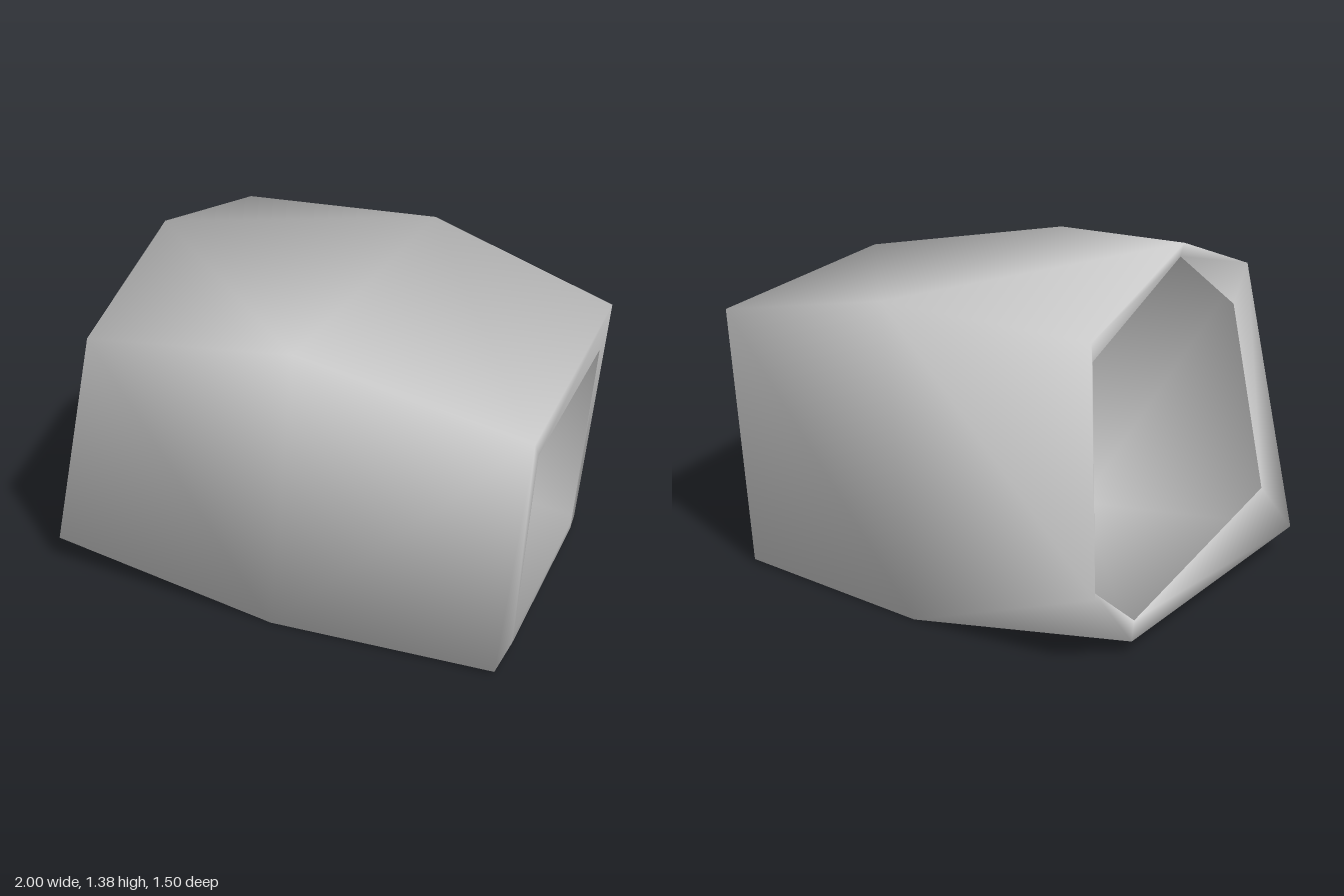
import * as THREE from 'three';

// Four-cornered ring (front-top, back-top, back-bottom, front-bottom) spread over six slots
const four = (tf, tb, bb, bf) => [tf, tf, tb, bb, bb, bf];

// Cross-sections in order from the -x opening, over its rim, along the wall to the +x opening
const rings = [
  // opening at -x
  [[-0.71, 1.02, 0.625], [-0.735, 1.33, 0.13], [-0.81, 1.13, -0.6],
    [-0.865, 0.29, -0.65], [-0.88, 0.08, -0.39], [-0.93, 0.316, 0.51]],
  // hexagonal end at -x
  [[-0.70, 1.16, 0.75], [-0.75, 1.385, 0.13], [-0.81, 1.20, -0.61],
    [-0.93, 0.32, -0.75], [-0.93, 0.05, -0.49], [-1, 0.115, 0.65]],
  // middle
  four([0.1, 1.225, 0.605], [0.02, 1.235, -0.72], [-0.11, 0, -0.72], [-0.02, 0, 0.605]),
  // square end at +x
  four([1, 1.04, 0.475], [0.84, 1.05, -0.66], [0.74, 0.01, -0.67], [0.89, 0.01, 0.48]),
  // opening at +x
  four([0.92, 0.845, 0.235], [0.855, 0.92, -0.51], [0.79, 0.06, -0.495], [0.9, 0.06, 0.34]),
];

// Distance of a diagonal's midpoint from the tunnel axis
const reach = (p, q) => Math.hypot((p[1] + q[1]) / 2 - 0.62, (p[2] + q[2]) / 2);

// Smooth normals, each face weighted by its angle at the corner
function angleNormals(points, index) {
  const at = points.map((p) => new THREE.Vector3(...p));
  const normals = points.map(() => new THREE.Vector3());
  for (let t = 0; t < index.length; t += 3) {
    for (let k = 0; k < 3; k++) {
      const [a, b, c] = [0, 1, 2].map((n) => index[t + ((k + n) % 3)]);
      const u = at[b].clone().sub(at[a]);
      const v = at[c].clone().sub(at[a]);
      const face = u.clone().cross(v).normalize();
      normals[a].addScaledVector(face, u.angleTo(v));
    }
  }
  return normals.flatMap((n) => n.normalize().toArray());
}

function shellGeometry() {
  const points = [...new Set(rings.flat())];
  const index = [];
  const tri = (...corners) => {
    if (new Set(corners).size === 3) index.push(...corners.map((c) => points.indexOf(c)));
  };
  for (let r = 0; r < rings.length - 1; r++) {
    const [ring, next] = [rings[r], rings[r + 1]];
    for (let i = 0; i < 6; i++) {
      const j = (i + 1) % 6;
      const [a, b, c, d] = [ring[i], next[i], next[j], ring[j]];
      // split each quad along its bulging diagonal
      if (reach(a, c) >= reach(b, d)) {
        tri(a, b, c);
        tri(a, c, d);
      } else {
        tri(a, b, d);
        tri(b, c, d);
      }
    }
  }
  const geometry = new THREE.BufferGeometry();
  geometry.setAttribute('position', new THREE.Float32BufferAttribute(points.flat(), 3));
  geometry.setAttribute('normal', new THREE.Float32BufferAttribute(angleNormals(points, index), 3));
  geometry.setIndex(index);
  return geometry;
}

export function createModel() {
  const grey = new THREE.MeshStandardMaterial({ color: 0xcccccc, side: THREE.DoubleSide });
  grey.name = 'light grey';
  const shell = new THREE.Mesh(shellGeometry(), grey);
  shell.name = 'hollowShell';
  const model = new THREE.Group();
  model.name = 'openTunnel';
  model.add(shell);
  return model;
}
